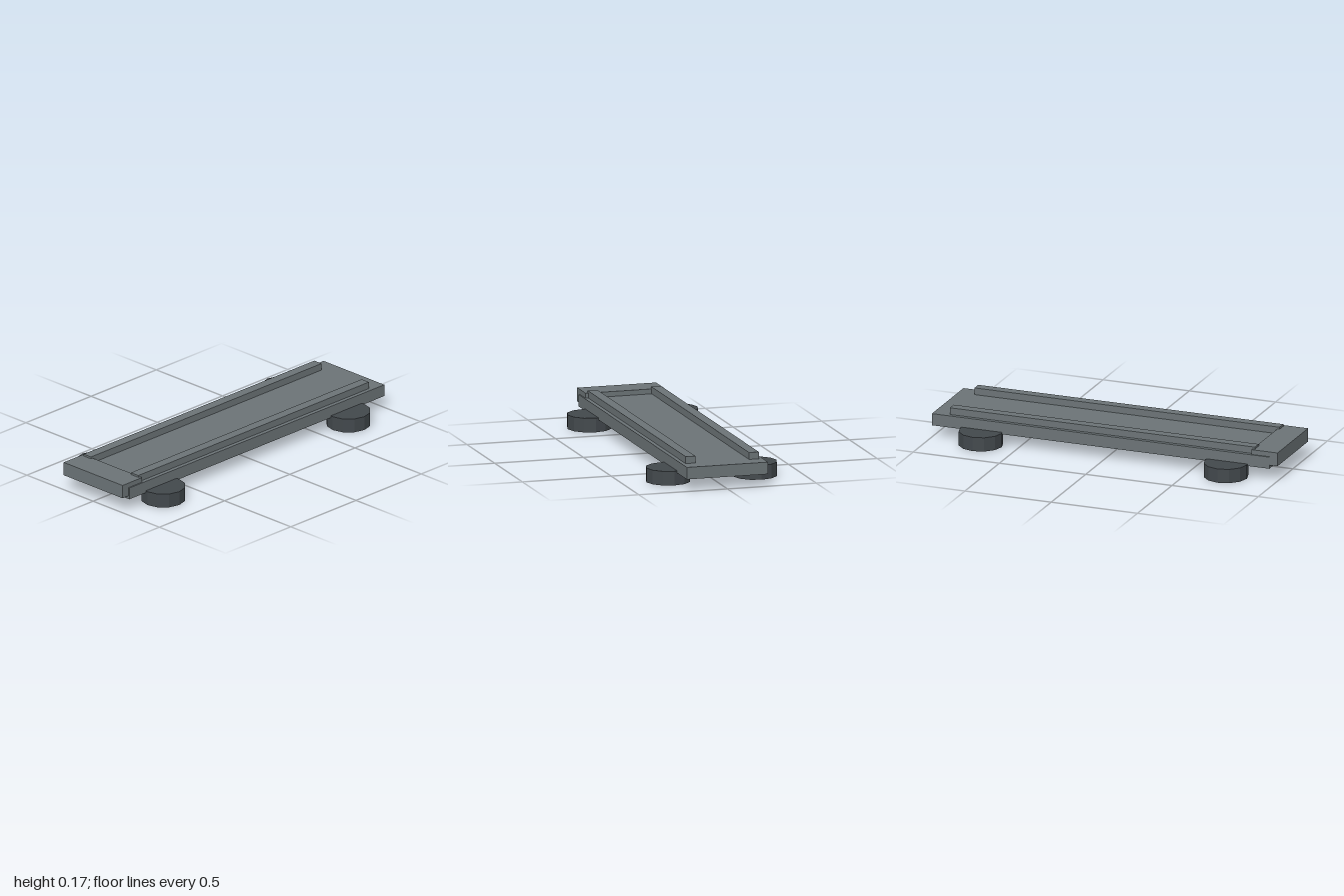
import * as THREE from 'three';

export function createModel() {
  const group = new THREE.Group();
  const deckGrey = new THREE.MeshStandardMaterial({ color: 0x6b7376 });
  deckGrey.name = 'deck grey';
  const wheelGrey = new THREE.MeshStandardMaterial({ color: 0x42484c, flatShading: true });
  wheelGrey.name = 'wheel grey';

  // Box given by its extents on each axis
  function box(name, [x0, x1], [y0, y1], [z0, z1]) {
    const mesh = new THREE.Mesh(new THREE.BoxGeometry(x1 - x0, y1 - y0, z1 - z0), deckGrey);
    mesh.position.set((x0 + x1) / 2, (y0 + y1) / 2, (z0 + z1) / 2);
    mesh.name = name;
    group.add(mesh);
  }

  // Long flat deck and the raised block at its right end
  box('deck', [-0.955, 1], [0.067, 0.133], [-0.229, 0.229]);
  box('endBlock', [-1, -0.85], [0.085, 0.16], [-0.222, 0.222]);

  // Rails along both edges
  box('frontRail', [-0.863, 0.905], [0.125, 0.171], [0.151, 0.206]);
  box('backRail', [-0.863, 0.905], [0.125, 0.171], [-0.206, -0.151]);

  // Four flat discs lying under the corners
  const wheelGeometry = new THREE.CylinderGeometry(0.121, 0.121, 0.078, 12);
  for (const x of [-0.711, 0.709]) {
    for (const z of [-0.245, 0.245]) {
      const wheel = new THREE.Mesh(wheelGeometry, wheelGrey);
      wheel.position.set(x, 0.039, z);
      wheel.name = (z > 0 ? 'front' : 'back') + (x > 0 ? 'Left' : 'Right') + 'Wheel';
      group.add(wheel);
    }
  }
  return group;
}
